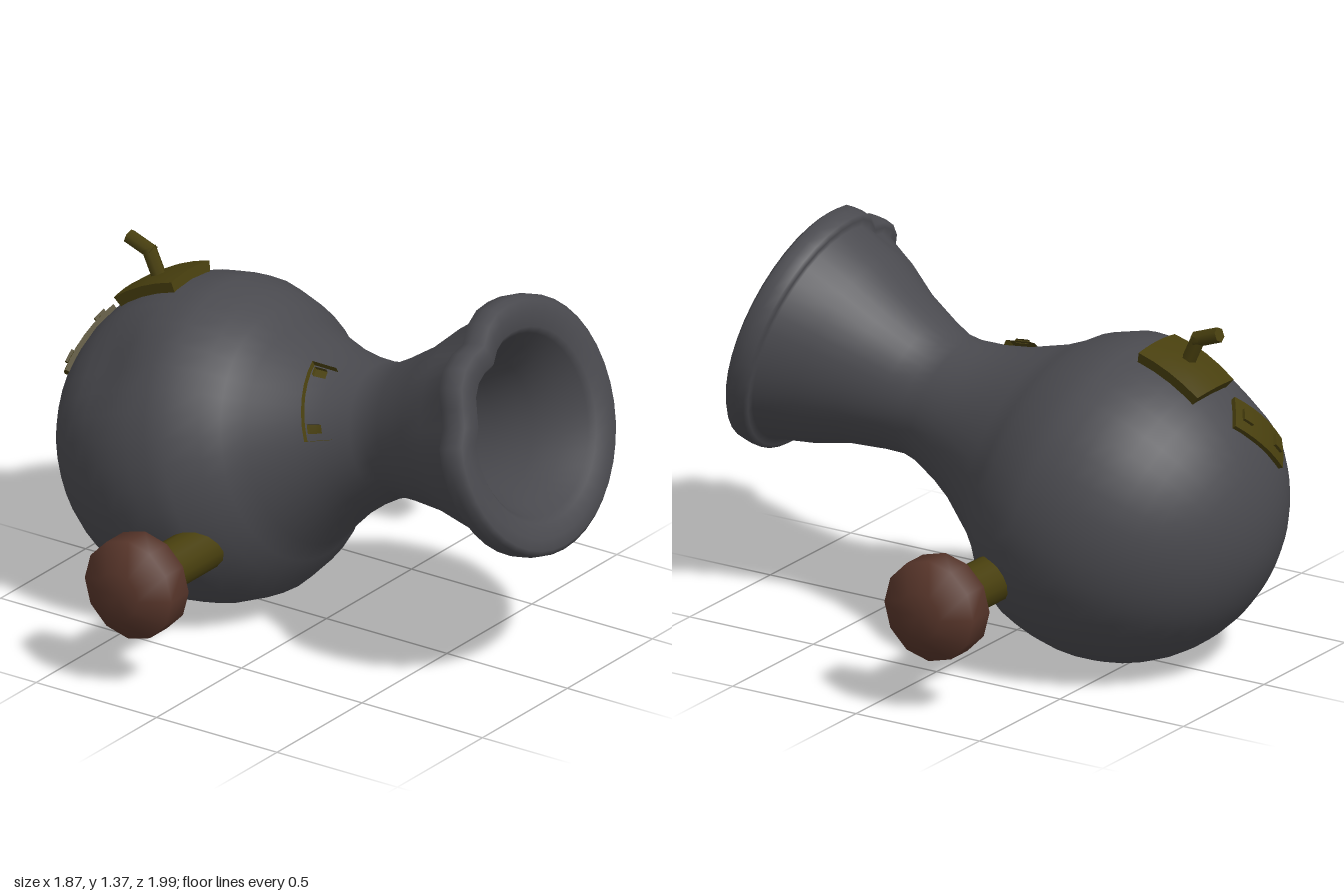
import * as THREE from 'three';
import { mergeVertices } from 'three/addons/utils/BufferGeometryUtils.js';

const V3 = (x, y, z) => new THREE.Vector3(x, y, z);
const CENTER = V3(0, 0.565, -0.43); // middle of the round chamber
const R = 0.567;
const TILT = 1.287; // turns the lathe axis from up to forward

// Barrel wall ahead of the chamber: [radius, distance along the axis]
const NECK = [
  [0.545, 0.167], [0.485, 0.275], [0.432, 0.33], [0.378, 0.4], [0.3, 0.536], [0.262, 0.63],
  [0.234, 0.73], [0.23, 0.79], [0.247, 0.86], [0.292, 1.0], [0.355, 1.13], [0.405, 1.265],
];
// Rounded lip, then the bore back to the inner chamber
const LIP = [[0.43, 1.266], [0.446, 1.275], [0.45, 1.31], [0.447, 1.345], [0.43, 1.36], [0.39, 1.362], [0.335, 1.35], [0.315, 1.33]];
const BORE = [[0.275, 1.24], [0.24, 1.15], [0.22, 1.0], [0.21, 0.85], [0.208, 0.73], [0.225, 0.62], [0.27, 0.5], [0.33, 0.38]];

function neckRadius(t) {
  for (let i = 1; i < NECK.length; i++) {
    const [r0, t0] = NECK[i - 1], [r1, t1] = NECK[i];
    if (t <= t1) return r0 + (r1 - r0) * (t - t0) / (t1 - t0);
  }
  return 0.405;
}

function arc(radius, from, to, n) {
  return Array.from({ length: n + 1 }, (_, i) => {
    const a = THREE.MathUtils.degToRad(from + (to - from) * i / n);
    return [Math.max(0, radius * Math.cos(a)), radius * Math.sin(a)];
  });
}

function barrelGeometry() {
  const profile = [...arc(R, -90, 10, 14), ...NECK, ...LIP, ...BORE, ...arc(0.45, 40, -90, 10)];
  let g = new THREE.LatheGeometry(profile.map(([r, t]) => new THREE.Vector2(r, t)), 40);
  const p = g.attributes.position, v = V3(), dent = V3(-0.37, -0.14, -0.41);
  for (let i = 0; i < p.count; i++) {
    v.fromBufferAttribute(p, i);
    // shallow knock in the chamber
    const d = v.distanceTo(dent);
    if (v.length() > 0.5 && d < 0.22) v.multiplyScalar(1 - 0.08 * (1 - d / 0.22));
    // two notches in the lip
    if (v.y > 1.2) {
      const a = Math.atan2(-v.z, v.x);
      const bump = (c, w) => Math.exp(-(((a - c) / w) ** 2));
      const k = 1 - 0.1 * bump(2.05, 0.16) - 0.08 * bump(2.78, 0.16);
      v.x *= k;
      v.z *= k;
    }
    p.setXYZ(i, v.x, v.y, v.z);
  }
  g.deleteAttribute('uv');
  g.deleteAttribute('normal');
  g = mergeVertices(g, 1e-4);
  g.computeVertexNormals();
  return g;
}

// Bends a box by a rule that maps each of its vertices
function bentBox(w, l, h0, h1, map) {
  const g = new THREE.BoxGeometry(w, l, h1 - h0, 6, 4, 1);
  g.translate(0, 0, (h0 + h1) / 2);
  const p = g.attributes.position;
  for (let i = 0; i < p.count; i++) {
    const q = map(p.getX(i), p.getY(i), p.getZ(i));
    p.setXYZ(i, q.x, q.y, q.z);
  }
  g.computeVertexNormals();
  return g;
}

// Rule that lays a plate on the chamber, facing dir, its length along the given vector
function onChamber(dir, along) {
  const n = dir.clone().normalize();
  const u = along.clone().addScaledVector(n, -along.dot(n)).normalize();
  const v = n.clone().cross(u);
  return (x, y, z) => n.clone().multiplyScalar(R).addScaledVector(u, x).addScaledVector(v, y)
    .setLength(R + z).add(CENTER);
}

// Rule that lays a band around the neck, in the frame of the barrel
function onNeck(angle, t0) {
  return (x, y, z) => {
    const a = angle + x / 0.28, t = t0 + y - x * 0.12, r = neckRadius(t) + z;
    return V3(r * Math.sin(a), t, -r * Math.cos(a));
  };
}

export function createModel() {
  const root = new THREE.Group();
  root.name = 'cannon';
  const mat = (name, color) => {
    const m = new THREE.MeshStandardMaterial({ color });
    m.name = name;
    return m;
  };
  const iron = mat('dark iron', 0x4a4a4f);
  const brass = mat('old brass', 0x483f0e);
  const wood = mat('brown wood', 0x57352a);
  const add = (name, g, m, parent = root) => {
    const mesh = new THREE.Mesh(g, m);
    mesh.name = name;
    parent.add(mesh);
    return mesh;
  };

  // Barrel with chamber, neck, lip and bore
  const barrel = new THREE.Group();
  barrel.name = 'barrelGroup';
  barrel.position.copy(CENTER);
  barrel.rotation.x = TILT;
  root.add(barrel);
  add('barrel', barrelGeometry(), iron, barrel);

  // Band patched onto the neck, with its rivets
  add('neckPatch', bentBox(0.28, 0.085, -0.06, 0.018, onNeck(-0.85, 0.61)), brass, barrel);
  for (const s of [-1, 1]) {
    const rule = onNeck(-0.85, 0.61);
    add('neckRivet', bentBox(0.03, 0.04, 0.015, 0.027, (x, y, z) => rule(x + s * 0.1, y, z)), brass, barrel);
  }

  // Axle stubs and wheels
  for (const s of [-1, 1]) {
    const axle = new THREE.CylinderGeometry(0.083, 0.083, 0.42, 14);
    axle.rotateZ(Math.PI / 2);
    add('axle', axle, brass).position.set(s * 0.55, 0.37, -0.21);

    const wheel = new THREE.LatheGeometry(
      [[0, 0.74], [0.115, 0.74], [0.18, 0.768], [0.18, 0.87], [0.085, 0.935], [0, 0.935]]
        .map(([r, x]) => new THREE.Vector2(r, x)), 12);
    wheel.rotateZ(-s * Math.PI / 2);
    add('wheel', wheel, wood).position.set(0, 0.37, -0.21);
  }

  // Fuse plate on top
  add('fusePlate', bentBox(0.22, 0.26, -0.02, 0.037, onChamber(V3(0, 0.51, -0.25), V3(1, 0, 0))), brass);

  // Bent fuse made of two six-sided rods
  const rod = (a, b) => {
    const d = b.clone().sub(a);
    const mesh = add('fuse', new THREE.CylinderGeometry(0.027, 0.027, d.length(), 6), brass);
    mesh.position.copy(a).add(b).multiplyScalar(0.5);
    mesh.quaternion.setFromUnitVectors(V3(0, 1, 0), d.normalize());
  };
  rod(V3(-0.015, 1.06, -0.665), V3(-0.015, 1.195, -0.728));
  rod(V3(-0.015, 1.182, -0.712), V3(-0.015, 1.218, -0.81));

  // Patch on the back, with its rivets
  const back = onChamber(V3(-0.125, 0.29, -0.475), V3(0.2, 0.22, 0.06));
  add('backPatch', bentBox(0.28, 0.13, -0.02, 0.016, back), brass);
  for (const s of [-1, 1]) {
    add('backRivet', bentBox(0.045, 0.045, 0.01, 0.026, (x, y, z) => back(x + s * 0.085, y, z)), brass);
  }
  return root;
}
